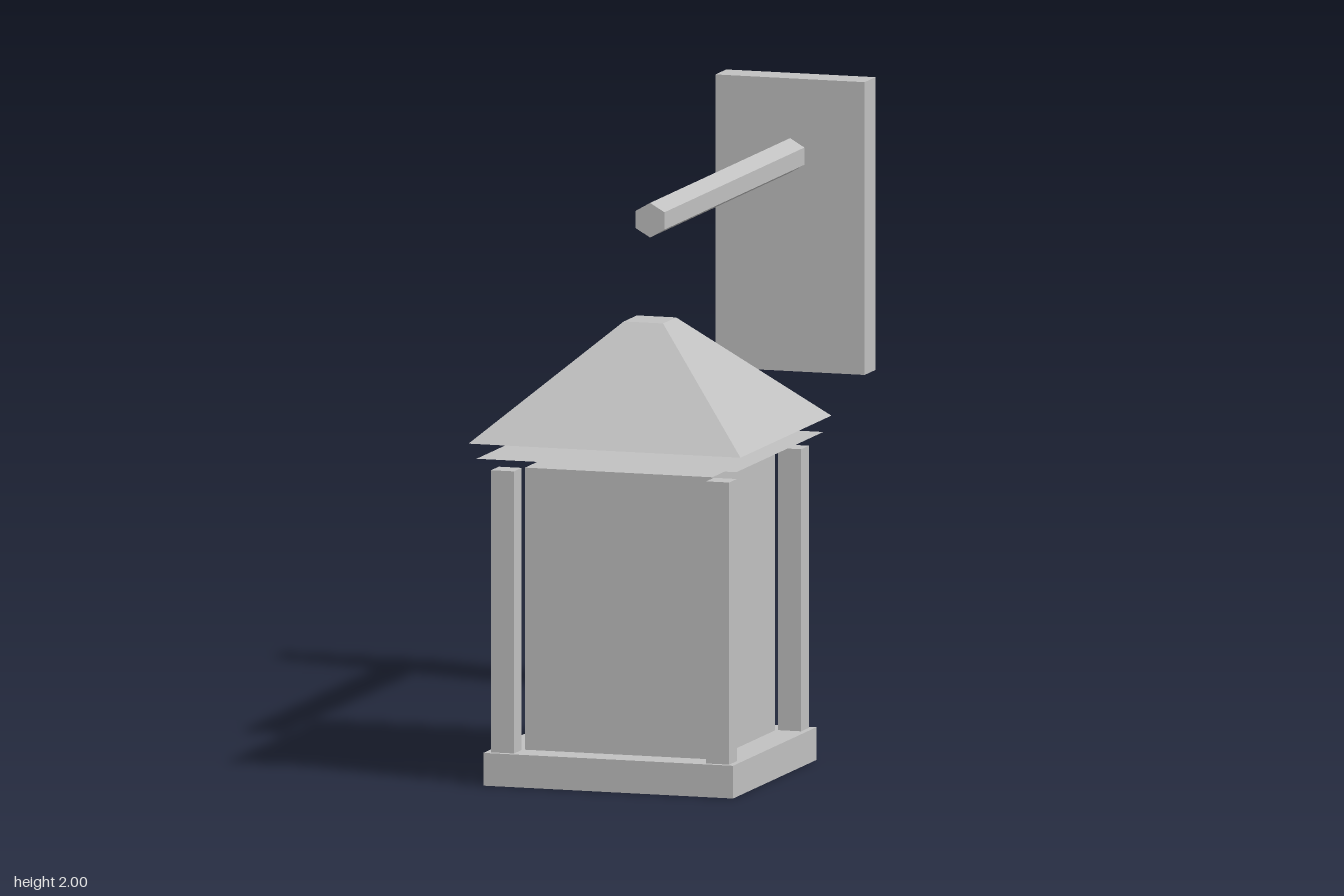
import * as THREE from 'three';

export function createModel() {
  const model = new THREE.Group();
  model.name = 'wallLantern';
  const grey = new THREE.MeshStandardMaterial({ color: 0xc0c0c0 });
  grey.name = 'plain grey';
  grey.flatShading = true;
  const greySheet = grey.clone();
  greySheet.name = 'plain grey sheet';
  greySheet.side = THREE.DoubleSide;

  const add = (name, geometry, x, y, z, parent = model, material = grey) => {
    const mesh = new THREE.Mesh(geometry, material);
    mesh.name = name;
    mesh.position.set(x, y, z);
    parent.add(mesh);
    return mesh;
  };
  const box = (w, h, d) => new THREE.BoxGeometry(w, h, d);

  // Wall plate and hexagonal arm
  add('wallPlate', box(0.494, 0.93, 0.107), 0, 1.535, -0.9185);
  const arm = new THREE.CylinderGeometry(0.055, 0.055, 1.385, 6).rotateX(Math.PI / 2);
  add('arm', arm, 0, 1.755, -0.1725);

  // Lantern, centred under the end of the arm
  const lantern = new THREE.Group();
  lantern.name = 'lantern';
  lantern.position.z = 0.521;
  model.add(lantern);
  add('base', box(0.826, 0.104, 0.826), 0, 0.052, 0, lantern);
  add('glassBody', box(0.62, 0.896, 0.62), 0, 0.552, 0, lantern);
  for (const x of [-1, 1]) {
    for (const z of [-1, 1]) {
      add('cornerPost', box(0.076, 0.896, 0.076), x * 0.356, 0.552, z * 0.356, lantern);
    }
  }

  // Thin sheet under the roof
  const sheet = new THREE.PlaneGeometry(0.86, 0.86).rotateX(-Math.PI / 2);
  add('ceilingSheet', sheet, 0, 1.04, 0, lantern, greySheet);

  // Truncated pyramid roof
  const roof = new THREE.CylinderGeometry(0.065 * Math.SQRT2, 0.45 * Math.SQRT2, 0.35, 4)
    .rotateY(Math.PI / 4);
  add('roof', roof, 0, 1.265, 0, lantern);

  return model;
}
